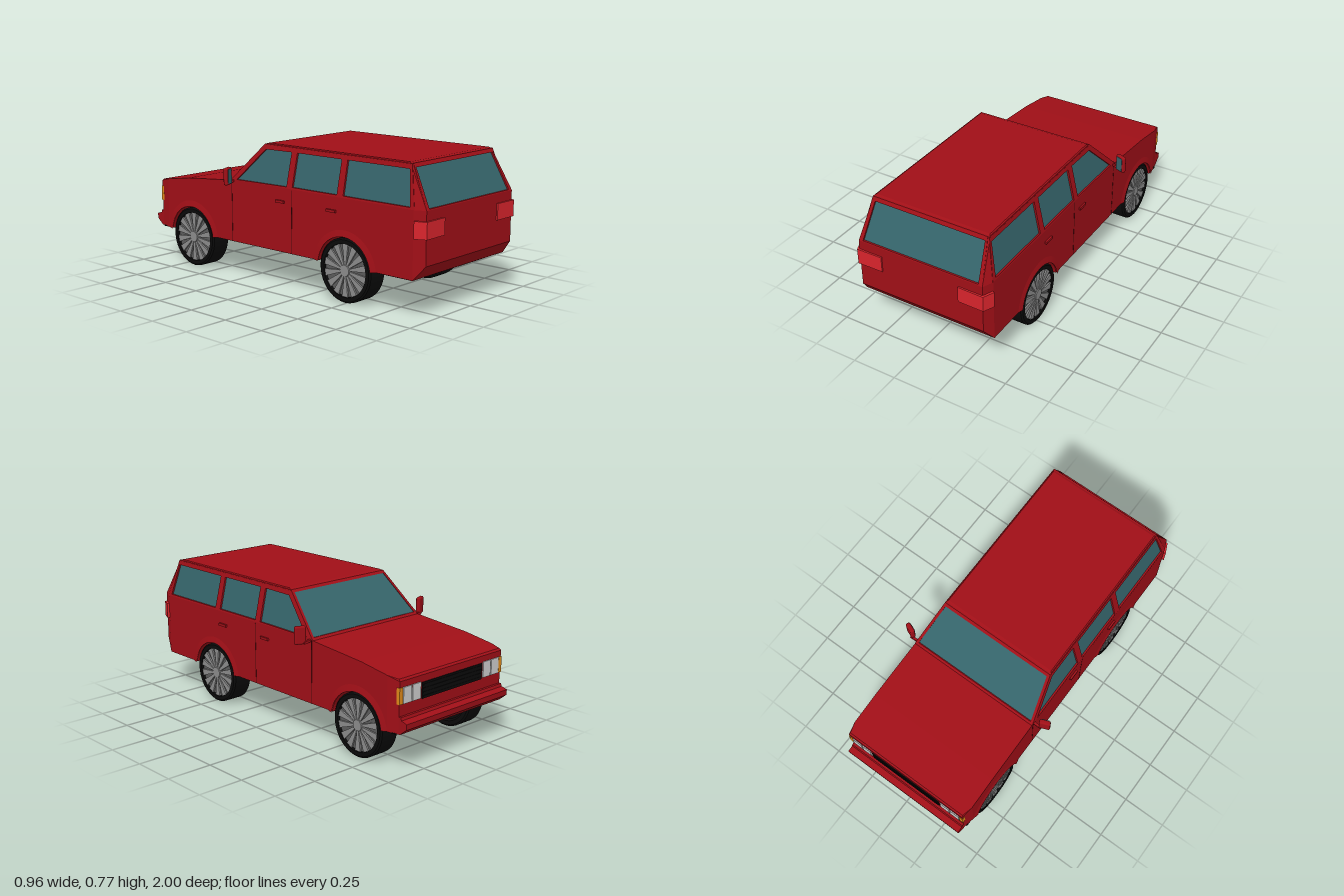
import * as THREE from 'three';
import { ConvexGeometry } from 'three/addons/geometries/ConvexGeometry.js';
import { RoundedBoxGeometry } from 'three/addons/geometries/RoundedBoxGeometry.js';

const mat = (color, side = THREE.FrontSide) => new THREE.MeshStandardMaterial({ color, side });
const red = mat(0xa00f17), redDouble = mat(0xa00f17, THREE.DoubleSide), lens = mat(0xd8242c);
const glass = mat(0x35646a), black = mat(0x0a0a0a), seamRed = mat(0x4a060a);
const white = mat(0xcccccc), orange = mat(0xe08a1a), rimGrey = mat(0x5c5c5c), spokeGrey = mat(0x8c8c8c);

const WHEEL_Y = 0.172, AXLES = [0.49, -0.67], BELT = 0.55, ROOF = 0.765;

// Planes of the cabin as functions of height
const up = (y) => (y - BELT) / (ROOF - BELT);
const halfWidth = (y) => 0.395 - 0.05 * up(y);
const rearZ = (y) => 0.99 - 0.11 * up(y);
const frontZ = (y) => -0.34 + 0.22 * up(y);

const toShape = (pts) => new THREE.Shape(pts.map(([a, b]) => new THREE.Vector2(a, b)));
const hull = (pts) => new ConvexGeometry(pts.map((p) => new THREE.Vector3(...p)));
const mirrorX = (pts) => pts.flatMap(([x, y, z]) => [[x, y, z], [-x, y, z]]);

function extrude(pts, depth, holes = []) {
  const shape = toShape(pts);
  shape.holes = holes.map((h) => new THREE.Path(h.map(([a, b]) => new THREE.Vector2(a, b))));
  return new THREE.ExtrudeGeometry(shape, { depth, bevelEnabled: false });
}

// Extrude a [z, y] profile along x
const extrudeX = (pts, depth, holes = []) =>
  extrude(pts.map(([z, y]) => [-z, y]), depth, holes.map((h) => h.map(([z, y]) => [-z, y]))).rotateY(Math.PI / 2);

// Lean a panel so that one axis follows a function of height
function lean(geo, axis, offset) {
  const p = geo.attributes.position;
  for (let i = 0; i < p.count; i++) p.setComponent(i, axis, p.getComponent(i, axis) + offset(p.getY(i)));
  geo.computeVertexNormals();
  return geo;
}

function add(parent, name, geo, material, x = 0, y = 0, z = 0) {
  const mesh = new THREE.Mesh(geo, material);
  mesh.name = name;
  mesh.position.set(x, y, z);
  parent.add(mesh);
  return mesh;
}
const box = (parent, name, material, w, h, d, x, y, z) =>
  add(parent, name, new THREE.BoxGeometry(w, h, d), material, x, y, z);

function makeWheel() {
  const wheel = new THREE.Group();
  wheel.name = 'wheel';
  const tyre = [[0.01, -0.045], [0.13, -0.05], [0.14, -0.06], [0.162, -0.06], [0.171, -0.052], [0.171, 0.052],
    [0.162, 0.06], [0.141, 0.06], [0.138, 0.045]].map(([r, h]) => new THREE.Vector2(r, h));
  // Split normals per band keep the tyre edges crisp
  for (let i = 0; i < tyre.length - 1; i++) {
    add(wheel, 'tyre', new THREE.LatheGeometry([tyre[i], tyre[i + 1]], 40), black);
  }
  add(wheel, 'rimDisc', new THREE.CylinderGeometry(0.14, 0.14, 0.02, 40), rimGrey, 0, 0.036, 0);
  add(wheel, 'hub', new THREE.CylinderGeometry(0.03, 0.036, 0.016, 24), spokeGrey, 0, 0.052, 0);
  const spoke = extrude([[0.025, -0.005], [0.139, -0.019], [0.139, 0.019], [0.025, 0.005]], 0.009).rotateX(-Math.PI / 2);
  for (let i = 0; i < 14; i++) {
    add(wheel, 'spoke', spoke, spokeGrey, 0, 0.046, 0).rotation.y = (i / 14) * Math.PI * 2;
  }
  return wheel;
}

function makeLowerBody(g) {
  // Side profile with wheel arches cut from the sill
  const r = 0.18, a0 = Math.asin((0.2 - WHEEL_Y) / r);
  const profile = [[0.93, 0.2]];
  for (const z of AXLES) {
    for (let i = 0; i <= 24; i++) {
      const a = a0 + (Math.PI - 2 * a0) * (i / 24);
      profile.push([z + r * Math.cos(a), WHEEL_Y + r * Math.sin(a)]);
    }
  }
  profile.push([-0.88, 0.2], [-0.88, 0.488], [-0.7, 0.515], [-0.34, 0.545], [-0.33, BELT], [0.93, BELT]);
  add(g, 'body', extrudeX(profile, 0.79), red, -0.395);
  add(g, 'nose', hull(mirrorX([[0.395, 0.2, -0.88], [0.395, 0.488, -0.88], [0.382, 0.2, -0.945],
    [0.382, 0.47, -0.95], [0.378, 0.48, -0.94]])), red);
  add(g, 'tail', hull(mirrorX([[0.395, 0.2, 0.93], [0.395, BELT, 0.93], [0.37, 0.275, 0.99], [0.37, BELT, 0.99]])), red);

  // Inner wells and black underside
  box(g, 'wheelWellCore', red, 0.5, 0.2, 1.7, 0, 0.305, 0);
  box(g, 'floor', black, 0.5, 0.006, 1.86, 0, 0.2, -0.005);
  for (const [z0, z1] of [[0.925, 0.67], [0.31, -0.49], [-0.85, -0.935]]) {
    box(g, 'floorSide', black, 0.78, 0.005, z0 - z1, 0, 0.2, (z0 + z1) / 2);
  }

  add(g, 'frontBumper', extrudeX([[-0.93, 0.2], [-0.955, 0.2], [-0.998, 0.235], [-1, 0.265], [-0.965, 0.275],
    [-0.96, 0.29], [-0.93, 0.29]], 0.764), red, -0.382);
  box(g, 'grille', black, 0.45, 0.085, 0.012, 0, 0.39, -0.948);
  for (let i = 0; i < 4; i++) box(g, 'grilleBar', black, 0.44, 0.006, 0.008, 0, 0.36 + i * 0.02, -0.953);

  for (const s of [1, -1]) {
    for (const x of [0.265, 0.33]) box(g, 'headlight', white, 0.058, 0.085, 0.014, s * x, 0.395, -0.948);
    box(g, 'indicator', orange, 0.023, 0.085, 0.02, s * 0.374, 0.395, -0.943);
    const plan = [[0.23, 0.98], [0.23, 0.998], [0.378, 1], [0.405, 0.94], [0.385, 0.93]].map(([x, z]) => [s * x, -z]);
    add(g, 'tailLight', extrude(plan, 0.088).rotateX(-Math.PI / 2), lens, 0, 0.41, 0);
    for (const z of [0.405, 0.04]) {
      box(g, 'doorHandle', red, 0.012, 0.014, 0.062, s * 0.4, 0.475, z);
    }
    for (const [z, y0] of [[0.122, 0.2], [-0.335, 0.2]]) {
      box(g, 'doorSeam', seamRed, 0.002, 0.545 - y0, 0.003, s * 0.395, (0.545 + y0) / 2, z);
    }
    // Flared lips around the arches
    for (const z of AXLES) {
      const flare = new THREE.CylinderGeometry(0.178, 0.218, 0.008, 32, 1, true,
        (s > 0 ? Math.PI : 0) + 0.13, Math.PI - 0.26).rotateZ(-s * Math.PI / 2);
      add(g, 'archFlare', flare, redDouble, s * 0.398, WHEEL_Y, z);
    }
  }
}

function makeCabin(g) {
  const T = 0.016;
  // Side window openings as [z, y]
  const windows = [
    [[0.905, 0.56], [0.48, 0.56], [0.475, 0.738], [0.872, 0.738]],
    [[0.437, 0.56], [0.125, 0.56], [0.125, 0.738], [0.435, 0.738]],
    [[0.083, 0.558], [-0.295, 0.553], [-0.11, 0.735], [0.083, 0.738]],
  ];
  const sideOutline = [[0.935, BELT], [frontZ(BELT), BELT], [frontZ(ROOF), ROOF], [0.88, ROOF]];
  for (const s of [1, -1]) {
    const skin = (inset, t) => (y) => (s > 0 ? halfWidth(y) - inset - t : -halfWidth(y) + inset);
    add(g, 'cabinSide', lean(extrudeX(sideOutline, T, windows), 0, skin(0, T)), red);
    for (const w of windows) add(g, 'sideWindow', lean(extrudeX(w, 0.004), 0, skin(0.01, 0.004)), glass);
    // Chamfered rear pillar
    add(g, 'rearPillar', hull([[0.395, BELT, 0.933], [0.37, BELT, 0.99], [0.345, ROOF, 0.872], [0.33, ROOF, 0.88],
      [0.37, BELT, 0.932], [0.328, ROOF, 0.865]].map(([x, y, z]) => [s * x, y, z])), red);
  }

  // Tailgate frame and glass
  const rearHole = [[-0.345, 0.555], [0.345, 0.555], [0.326, 0.745], [-0.326, 0.745]];
  const tailgate = extrude([[-0.37, BELT], [0.37, BELT], [0.335, ROOF], [-0.335, ROOF]], T, [rearHole]);
  add(g, 'tailgateFrame', lean(tailgate, 2, (y) => rearZ(y) - T), red);
  add(g, 'rearWindow', lean(extrude(rearHole, 0.004), 2, (y) => rearZ(y) - 0.014), glass);

  // Windshield frame and glass
  const frontHole = [[-0.378, 0.556], [0.378, 0.556], [0.337, 0.752], [-0.337, 0.752]];
  const frame = extrude([[-0.395, 0.54], [0.395, 0.54], [0.345, ROOF], [-0.345, ROOF]], T, [frontHole]);
  add(g, 'windshieldFrame', lean(frame, 2, frontZ), red);
  add(g, 'windshield', lean(extrude(frontHole, 0.004), 2, (y) => frontZ(y) + 0.005), glass);

  add(g, 'roof', hull(mirrorX([[0.348, 0.752, -0.13], [0.348, 0.752, 0.884], [0.346, 0.762, -0.12],
    [0.346, 0.762, 0.878], [0.336, 0.77, -0.1], [0.336, 0.77, 0.86]])), red);
}

function makeMirror(s) {
  const mirror = new THREE.Group();
  mirror.name = 'wingMirror';
  add(mirror, 'mirrorShell', new RoundedBoxGeometry(0.062, 0.097, 0.026, 2, 0.01), red);
  box(mirror, 'mirrorGlass', glass, 0.042, 0.08, 0.004, 0, 0, 0.013);
  mirror.position.set(s * 0.451, 0.578, -0.308);
  mirror.rotation.y = -s * 0.38;
  return mirror;
}

export function createModel() {
  const car = new THREE.Group();
  car.name = 'estateCar';
  makeLowerBody(car);
  makeCabin(car);
  for (const s of [1, -1]) {
    car.add(makeMirror(s));
    const arm = box(car, 'mirrorArm', red, 0.06, 0.012, 0.014, s * 0.41, 0.541, -0.325);
    arm.rotation.z = -s * 0.15;
    for (const z of AXLES) {
      const wheel = makeWheel();
      wheel.rotation.z = -s * Math.PI / 2;
      wheel.position.set(s * 0.332, WHEEL_Y, z);
      car.add(wheel);
    }
  }
  return car;
}
